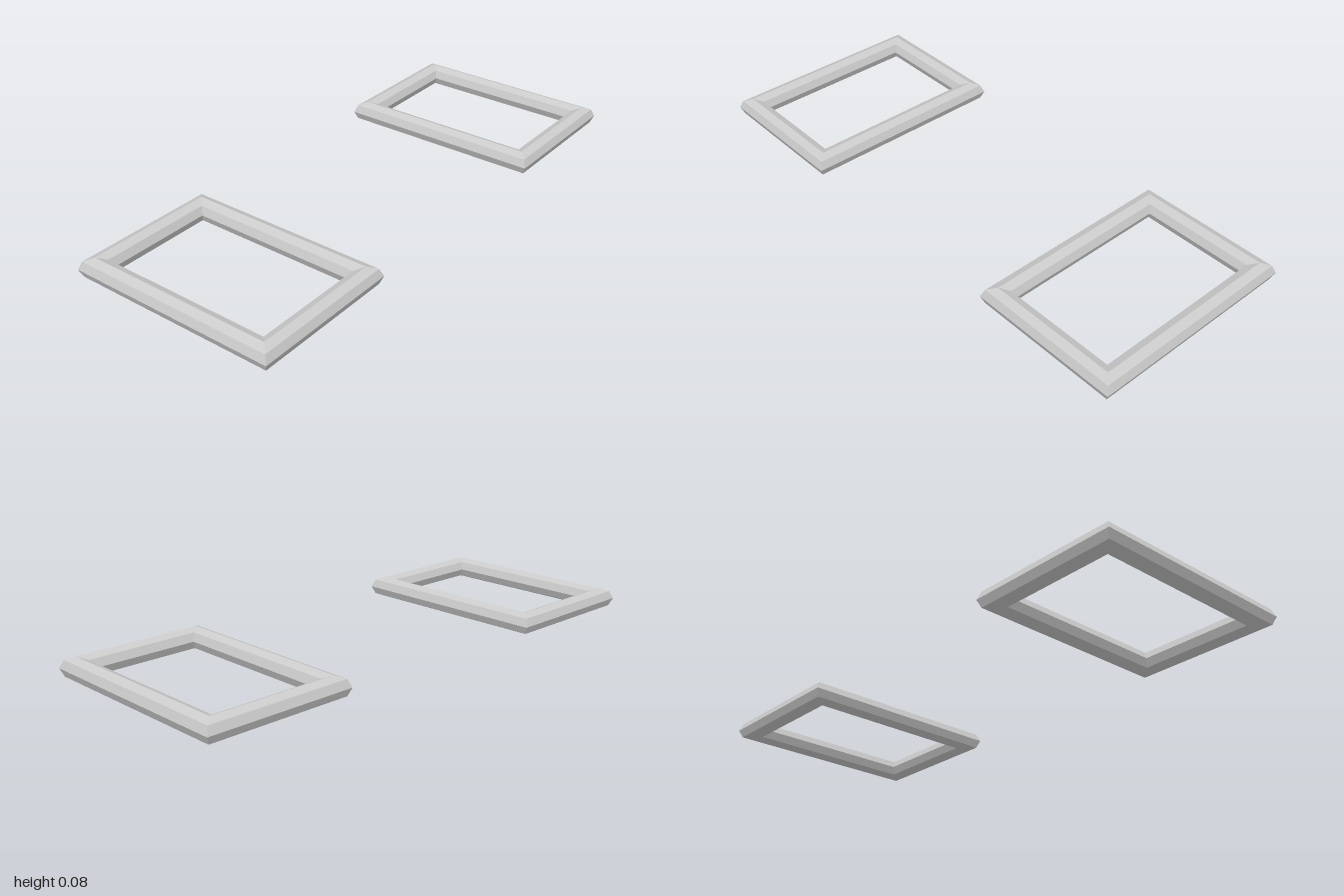
import * as THREE from 'three';

const RADIUS = 0.041;   // octagonal bar radius
const SIDES = 8;
const HALF_X = 0.239;   // bar centreline half sizes
const HALF_Z = 0.359;
const OFFSET_X = 0.72;  // frame centre from the middle

// Rectangular ring with mitred corners: an octagon swept around four corners
function frameGeometry() {
  const corners = [[1, 1], [1, -1], [-1, -1], [-1, 1]];
  const positions = [];
  const index = [];
  for (const [sx, sz] of corners) {
    for (let j = 0; j < SIDES; j++) {
      const a = (j / SIDES) * Math.PI * 2;
      const out = RADIUS * Math.cos(a);
      positions.push(sx * (HALF_X + out), RADIUS * (1 + Math.sin(a)), sz * (HALF_Z + out));
    }
  }
  for (let i = 0; i < 4; i++) {
    for (let j = 0; j < SIDES; j++) {
      const next = ((i + 1) % 4) * SIDES;
      const k = (j + 1) % SIDES;
      const a = i * SIDES + j, b = next + j, c = next + k, d = i * SIDES + k;
      index.push(a, b, c, a, c, d);
    }
  }
  const indexed = new THREE.BufferGeometry();
  indexed.setAttribute('position', new THREE.Float32BufferAttribute(positions, 3));
  indexed.setIndex(index);
  const geometry = indexed.toNonIndexed();
  geometry.computeVertexNormals();
  return geometry;
}

export function createModel() {
  const model = new THREE.Group();
  model.name = 'framePair';
  const material = new THREE.MeshStandardMaterial({ color: 0xcccccc, flatShading: true });
  const geometry = frameGeometry();

  // Two identical frames lying flat, side by side
  for (const [name, side] of [['leftFrame', 1], ['rightFrame', -1]]) {
    const frame = new THREE.Mesh(geometry, material);
    frame.name = name;
    frame.position.x = side * OFFSET_X;
    model.add(frame);
  }
  return model;
}
